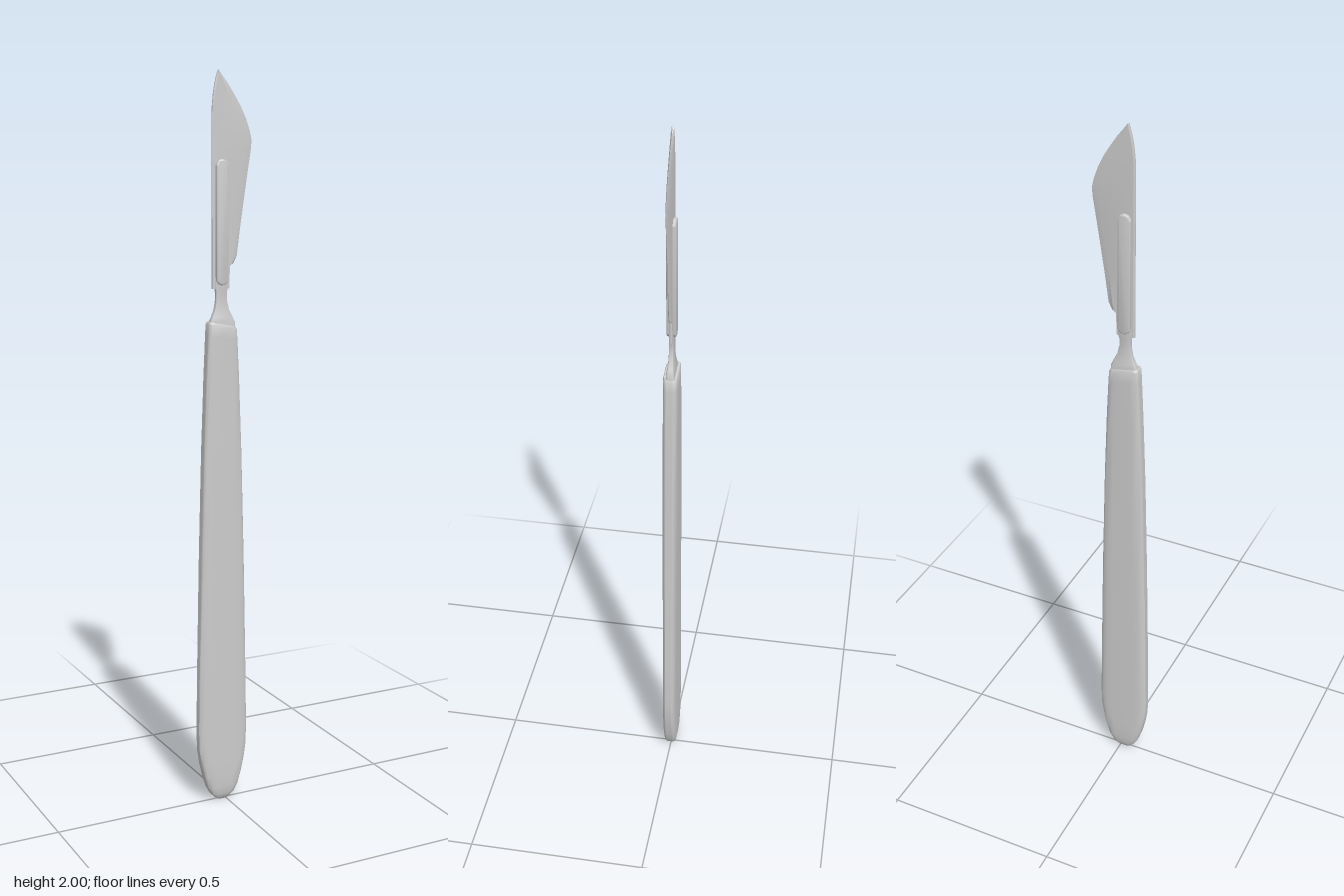
import * as THREE from 'three';
import { toCreasedNormals } from 'three/addons/utils/BufferGeometryUtils.js';

const material = new THREE.MeshStandardMaterial({ color: 0xcccccc });

// Skin a stack of closed rings (each a list of [x, y, z]) and cap both ends
function loft(rings, crease) {
  const n = rings[0].length;
  const index = [];
  for (let i = 0; i < rings.length - 1; i++) {
    for (let j = 0; j < n; j++) {
      const a = i * n + j, b = i * n + ((j + 1) % n);
      index.push(a, b, b + n, a, b + n, a + n);
    }
  }
  const last = (rings.length - 1) * n;
  for (let j = 1; j < n - 1; j++) {
    index.push(0, j + 1, j, last, last + j, last + j + 1);
  }
  const geometry = new THREE.BufferGeometry();
  geometry.setAttribute('position', new THREE.Float32BufferAttribute(rings.flat(2), 3));
  geometry.setIndex(index);
  return toCreasedNormals(geometry, crease);
}

function part(name, geometry) {
  const mesh = new THREE.Mesh(geometry, material);
  mesh.name = name;
  return mesh;
}

// Flat bar section with softened long edges
function barRing(cx, y, halfWidth, halfDepth, bevel, slant = 0) {
  const corner = [[1, 0.45], [0.96, 0.66], [0.87, 0.85], [0.72, 0.96], [0.5, 1]]
    .map(([u, v]) => [halfWidth * (1 - (1 - u) * bevel), halfDepth * v]);
  const right = [...corner].reverse();
  const front = [...corner.map(([x, z]) => [-x, z]), ...right];
  const ring = [...front, ...front.map(([x, z]) => [-x, -z])];
  return ring.map(([x, z]) => [cx + x, y - slant * x, z]);
}

function createHandle() {
  // y, half width, half depth, slant of the shoulder
  const rows = [
    [0, 0.012, 0.008, 0], [0.006, 0.022, 0.012, 0], [0.018, 0.034, 0.016, 0],
    [0.04, 0.046, 0.0185, 0], [0.075, 0.057, 0.0195, 0], [0.115, 0.066, 0.0195, 0],
    [0.155, 0.072, 0.0195, 0], [0.21, 0.0735, 0.0195, 0], [0.4, 0.0705, 0.0195, 0],
    [0.7, 0.0645, 0.0195, 0], [1.0, 0.0565, 0.0195, 0], [1.2, 0.049, 0.0195, 0],
    [1.31, 0.0435, 0.0195, 0.1], [1.34, 0.0415, 0.0195, 0.2], [1.346, 0.038, 0.017, 0.2],
  ];
  return loft(rows.map(([y, w, d, s]) => barRing(-0.01, y, w, d, 1, s)), 0.6);
}

function createNeck() {
  // y, left and right limits in x, half depth
  const rows = [
    [1.32, -0.046, 0.029, 0.012], [1.35, -0.047, 0.028, 0.011], [1.365, -0.039, 0.021, 0.009],
    [1.385, -0.031, 0.011, 0.007], [1.41, -0.027, 0.005, 0.006], [1.43, -0.027, 0.005, 0.006],
    [1.445, -0.03, 0.009, 0.006], [1.47, -0.03, 0.009, 0.006],
  ];
  return loft(rows.map(([y, l, r, d]) => barRing((l + r) / 2, y, (r - l) / 2, d, 0.5)), 0.6);
}

function createBlade() {
  // y, spine x, edge x, width of the ground bevel
  const rows = [
    [1.44, -0.037, 0.014, 0.002], [1.5, -0.037, 0.016, 0.002], [1.506, -0.037, 0.026, 0.006],
    [1.525, -0.037, 0.036, 0.012], [1.6, -0.037, 0.046, 0.014], [1.7, -0.037, 0.061, 0.016],
    [1.77, -0.037, 0.072, 0.017], [1.8, -0.037, 0.077, 0.018], [1.825, -0.037, 0.079, 0.019],
    [1.85, -0.037, 0.073, 0.019], [1.88, -0.037, 0.062, 0.019], [1.91, -0.036, 0.047, 0.018],
    [1.94, -0.033, 0.028, 0.016], [1.965, -0.029, 0.011, 0.013], [1.985, -0.024, -0.005, 0.008],
    [2.0, -0.019, -0.017, 0.001],
  ];
  const t = 0.004;
  return loft(rows.map(([y, spine, edge, bevel]) => {
    const inner = edge - bevel;
    const shoulder = Math.min(spine + 0.004, inner);
    return [
      [spine, y, t * 0.5], [shoulder, y, t], [inner, y, t], [edge, y, 0],
      [inner, y, -t], [shoulder, y, -t], [spine, y, -t * 0.5],
    ];
  }), 0.3);
}

// Rounded bar that passes through the blade and stands proud on both faces
function createMount() {
  const bevel = 0.004, r = 0.0135, x = -0.0105, y0 = 1.449, y1 = 1.775;
  const shape = new THREE.Shape();
  shape.absarc(x, y1 - r - bevel, r, 0, Math.PI, false);
  shape.absarc(x, y0 + r + bevel, r, Math.PI, Math.PI * 2, false);
  const geometry = new THREE.ExtrudeGeometry(shape, {
    depth: 0.017, bevelEnabled: true, bevelSize: bevel, bevelThickness: bevel,
    bevelSegments: 3, curveSegments: 8,
  });
  geometry.translate(0, 0, -0.0085);
  return toCreasedNormals(geometry, 0.6);
}

export function createModel() {
  const group = new THREE.Group();
  group.name = 'scalpel';
  group.add(
    part('handle', createHandle()),
    part('neck', createNeck()),
    part('blade', createBlade()),
    part('bladeMount', createMount()),
  );
  return group;
}
